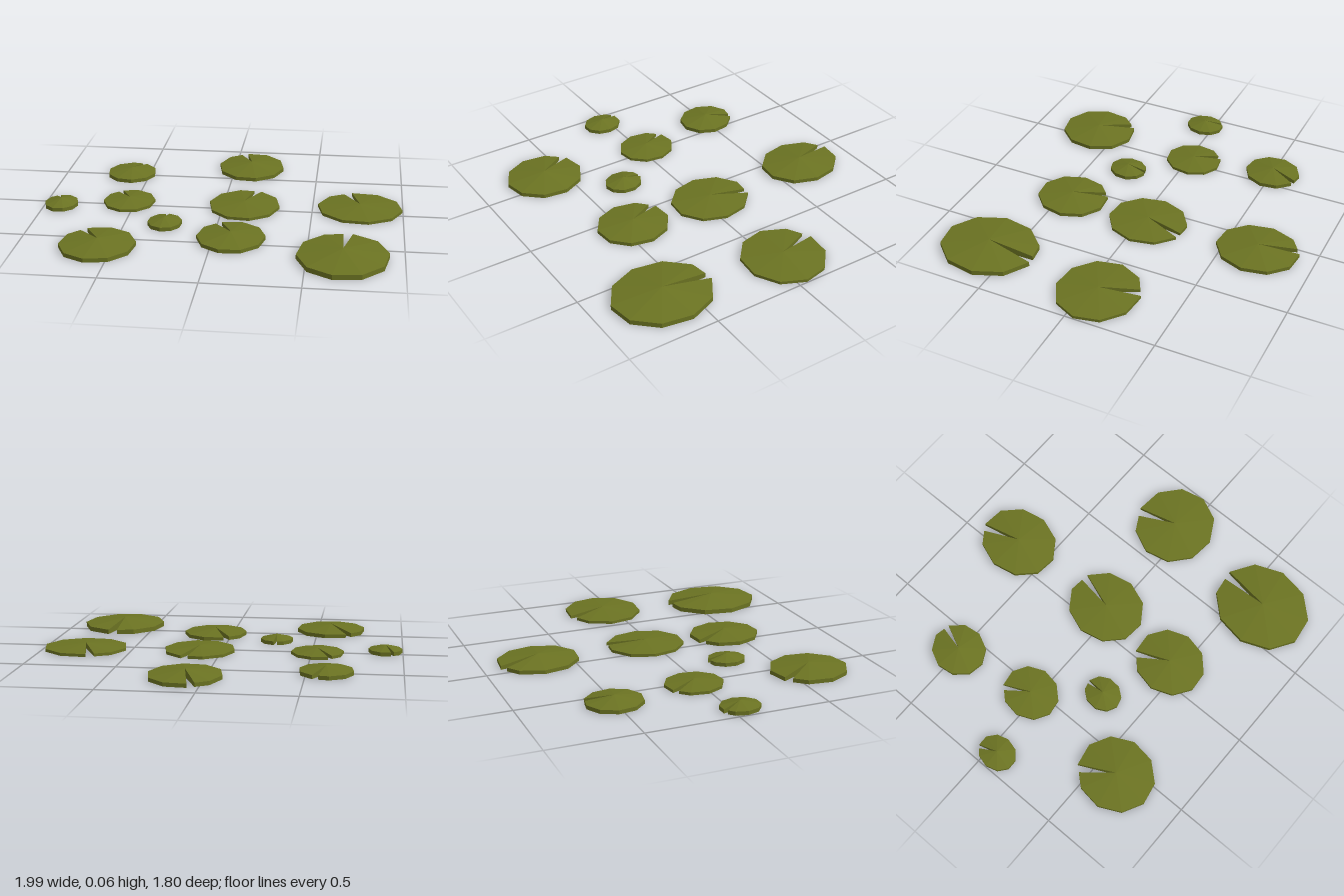
import * as THREE from 'three';

const SIDES = 10;
const material = new THREE.MeshStandardMaterial({ color: 0x6b7322, flatShading: true });

// centre x, centre z, radius x, radius z, notch angle (degrees), rim height, peak height
const pads = [
  [0.10, -0.685, 0.195, 0.227, -13, 0.021, 0.047],
  [-0.605, -0.505, 0.143, 0.156, 27.5, 0.021, 0.046],
  [-0.533, -0.036, 0.145, 0.161, -26, 0.016, 0.035],
  [0.12, -0.047, 0.198, 0.222, 22.8, 0.016, 0.035],
  [0.763, -0.07, 0.235, 0.224, -12, 0.016, 0.035],
  [-0.904, 0.05, 0.093, 0.109, -19, 0.021, 0.046],
  [0.686, 0.622, 0.238, 0.273, 11, 0.026, 0.057],
  [-0.282, 0.27, 0.093, 0.106, 6, 0.021, 0.046],
  [0.096, 0.434, 0.182, 0.20, -22.4, 0.02, 0.043],
  [-0.579, 0.614, 0.20, 0.216, -28, 0.022, 0.048],
];

// Ten-sided disc with a low conical top, a flat base and a wedge cut out to the centre
function padGeometry(rx, rz, notchDegrees, rim, peak) {
  const corner = (k) => {
    const a = THREE.MathUtils.degToRad(notchDegrees) + (k * Math.PI * 2) / SIDES;
    return new THREE.Vector2(Math.sin(a) * rx, -Math.cos(a) * rz);
  };
  const outline = [new THREE.Vector2(0, 0)];
  for (let k = 0; k < SIDES; k++) outline.push(corner(k));
  // the notch ends part way along the last edge
  outline.push(corner(SIDES - 1).lerp(corner(SIDES), 0.66));

  const n = outline.length;
  const positions = [];
  outline.forEach((p, i) => positions.push(p.x, i === 0 ? peak : rim, p.y));
  outline.forEach((p) => positions.push(p.x, 0, p.y));

  const index = [];
  for (let i = 0; i < n; i++) {
    const j = (i + 1) % n;
    index.push(i, j, n + j, i, n + j, n + i); // rim and notch walls
    if (i > 0 && j > 0) index.push(0, j, i, n, n + i, n + j); // top and base
  }
  const geometry = new THREE.BufferGeometry();
  geometry.setAttribute('position', new THREE.Float32BufferAttribute(positions, 3));
  geometry.setIndex(index);
  const flat = geometry.toNonIndexed();
  flat.computeVertexNormals();
  return flat;
}

export function createModel() {
  const group = new THREE.Group();
  group.name = 'lilyPads';
  pads.forEach(([x, z, ...shape], i) => {
    const pad = new THREE.Mesh(padGeometry(...shape), material);
    pad.name = `lilyPad${i + 1}`;
    pad.position.set(x, 0, z);
    group.add(pad);
  });
  return group;
}
